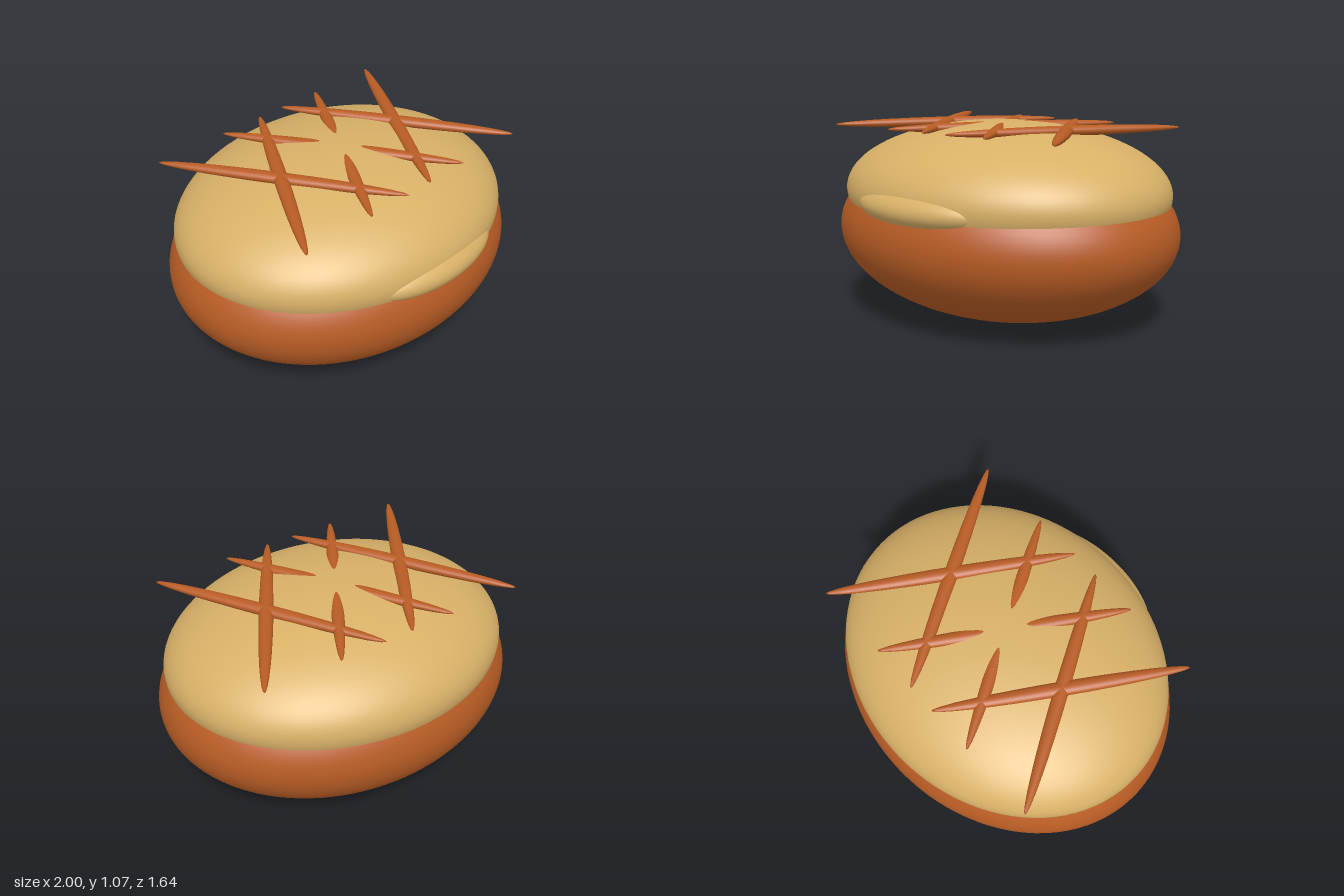
import * as THREE from 'three';

const crust = new THREE.MeshStandardMaterial({ color: 0xb85c24 });
crust.name = 'brown crust';
const dough = new THREE.MeshStandardMaterial({ color: 0xd8b067 });
dough.name = 'pale dough';

// Ellipsoid with the given centre and radii
function ellipsoid(name, material, [x, y, z], [rx, ry, rz], segments = 64) {
  const geometry = new THREE.SphereGeometry(1, segments, segments / 2);
  geometry.scale(rx, ry, rz);
  const mesh = new THREE.Mesh(geometry, material);
  mesh.name = name;
  mesh.position.set(x, y, z);
  return mesh;
}

export function createModel() {
  const model = new THREE.Group();
  model.name = 'bun';
  const midZ = -0.006;

  // Two overlapping flattened halves
  model.add(ellipsoid('lowerBody', crust, [0, 0.492, midZ], [1, 0.492, 0.816], 96));
  model.add(ellipsoid('upperDome', dough, [0, 0.7, midZ], [0.95, 0.372, 0.788], 96));

  // Lip bulging out of the front seam
  model.add(ellipsoid('frontLip', dough, [0, 0.677, 0.6], [0.444, 0.12, 0.22]));

  // Three crosses of tapered strips, the middle one partly sunk into the dome
  const halfX = 0.34, halfZ = 0.552;
  for (const x of [-0.418, 0, 0.418]) {
    const cross = new THREE.Group();
    cross.name = 'topCross';
    cross.position.set(x, 1.042, midZ);
    for (const side of [-1, 1]) {
      const strip = ellipsoid('crossStrip', crust, [0, 0, 0], [0.037, 0.027, Math.hypot(halfX, halfZ)], 32);
      strip.rotation.y = side * Math.atan2(halfX, halfZ);
      cross.add(strip);
    }
    model.add(cross);
  }
  return model;
}
